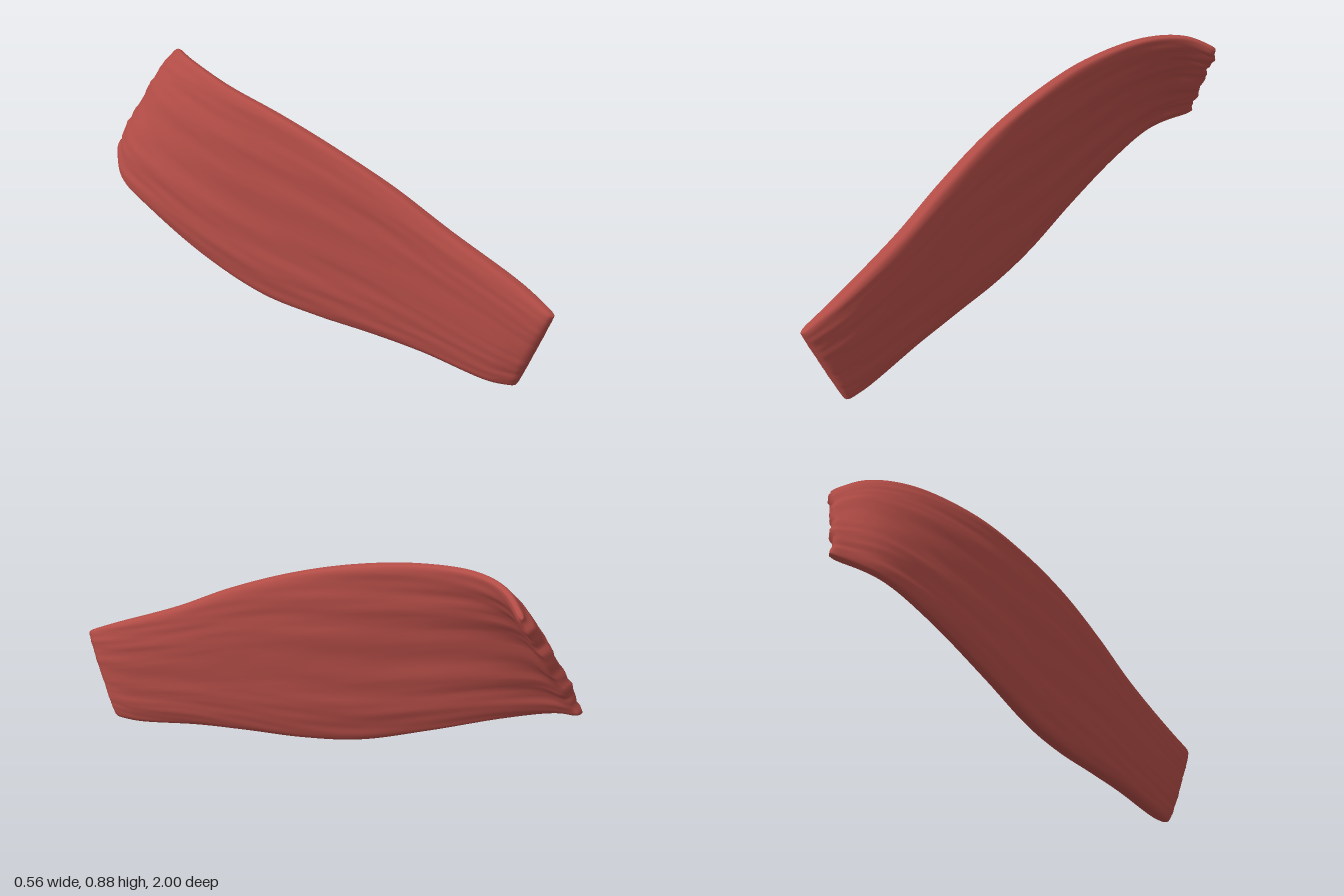
import * as THREE from 'three';

const V = (p) => new THREE.Vector3(...p);
const curve = (pts) => new THREE.CatmullRomCurve3(pts.map(V));

// Matching stations from the narrow front end to the wide back end
const topEdge = curve([
  [0.25, 0.355, 0.998], [0.232, 0.42, 0.85], [0.165, 0.532, 0.58], [0.1, 0.64, 0.36], [0.028, 0.735, 0.12],
  [-0.03, 0.806, -0.12], [-0.073, 0.857, -0.38], [-0.055, 0.887, -0.64], [0, 0.875, -0.79], [0.06, 0.825, -0.893],
]);
const bottomEdge = curve([
  [0.25, 0.01, 0.86], [0.212, 0.005, 0.77], [0.13, 0.037, 0.52], [0.06, 0.05, 0.32], [-0.02, 0.057, 0.1],
  [-0.105, 0.083, -0.12], [-0.19, 0.17, -0.38], [-0.25, 0.285, -0.66], [-0.262, 0.36, -0.85], [-0.19, 0.425, -1],
]);
// x: thickness, y: sideways bow
const body = curve([
  [0.06, 0, 0], [0.085, 0, 1], [0.095, 0, 2], [0.098, 0, 3], [0.095, 0, 4],
  [0.088, 0.003, 5], [0.08, 0.01, 6], [0.07, 0.018, 7], [0.06, 0.02, 8], [0.05, 0.008, 9],
]);

const RINGS = 110, SIDES = 120;
const signedPow = (v, e) => Math.sign(v) * Math.abs(v) ** e;

// Broken, drifting grooves along the length, deeper toward the back
function fibres(s, t, side) {
  const d = s + 0.35 * t + 0.08 * Math.sin(t * 5 + side);
  const wave = Math.sin(d * 11 + side) * Math.sin(t * 8 + s * 4)
    + Math.sin(d * 23 + side * 2) * Math.sin(t * 14 - s * 7) * 0.7
    + Math.sin(d * 38) * Math.sin(t * 19 + s * 9) * 0.4;
  return wave * (0.0015 + 0.003 * t);
}

function muscleGeometry() {
  const pos = [], index = [];
  for (let i = 0; i <= RINGS; i++) {
    const t = i / RINGS;
    const top = topEdge.getPoint(t), bottom = bottomEdge.getPoint(t), b = body.getPoint(t);
    const centre = top.clone().add(bottom).multiplyScalar(0.5);
    const half = top.clone().sub(bottom).multiplyScalar(0.5);
    const t0 = Math.max(0, t - 0.01), t1 = Math.min(1, t + 0.01);
    const along = topEdge.getPoint(t1).add(bottomEdge.getPoint(t1))
      .sub(topEdge.getPoint(t0)).sub(bottomEdge.getPoint(t0)).normalize();
    const out = half.clone().cross(along).normalize();
    // Rounded ends
    const end = Math.min(1, Math.min(i, RINGS - i) / 3);
    const taper = 0.65 + 0.35 * Math.sqrt(end * (2 - end));
    for (let j = 0; j < SIDES; j++) {
      const a = j / SIDES * Math.PI * 2;
      const s = signedPow(Math.cos(a), 0.75), q = signedPow(Math.sin(a), 0.55);
      const ragged = Math.max(0, t - 0.95) * 20 * 0.005 * (Math.sin(s * 11) + Math.sin(s * 25 + 1) * 0.5);
      const offset = q * (b.x / 2 * taper + fibres(s, t, Math.sign(q))) + b.y * (1 - s * s);
      const p = centre.clone().addScaledVector(half, s * (0.94 + 0.06 * taper))
        .addScaledVector(out, offset).addScaledVector(along, ragged);
      pos.push(p.x, p.y, p.z);
    }
  }
  for (let i = 0; i < RINGS; i++) {
    for (let j = 0; j < SIDES; j++) {
      const k = (j + 1) % SIDES, r = i * SIDES, n = r + SIDES;
      index.push(r + j, n + j, r + k, n + j, n + k, r + k);
    }
  }
  // End faces stitched straight across the thickness
  const last = RINGS * SIDES;
  for (let j = 0; j < SIDES / 2; j++) {
    const k = j + 1, m = (SIDES - j) % SIDES, n = SIDES - k;
    if (j > 0) {
      index.push(m, j, k);
      index.push(last + m, last + k, last + j);
    }
    if (k < SIDES / 2) {
      index.push(m, k, n);
      index.push(last + m, last + n, last + k);
    }
  }
  const geometry = new THREE.BufferGeometry();
  geometry.setAttribute('position', new THREE.Float32BufferAttribute(pos, 3));
  geometry.setIndex(index);
  geometry.computeVertexNormals();
  return geometry;
}

export function createModel() {
  const group = new THREE.Group();
  group.name = 'muscle';
  const red = new THREE.MeshStandardMaterial({ color: 0xb24c46 });
  red.name = 'muscle red';
  const strap = new THREE.Mesh(muscleGeometry(), red);
  strap.name = 'muscleStrap';
  group.add(strap);
  return group;
}
